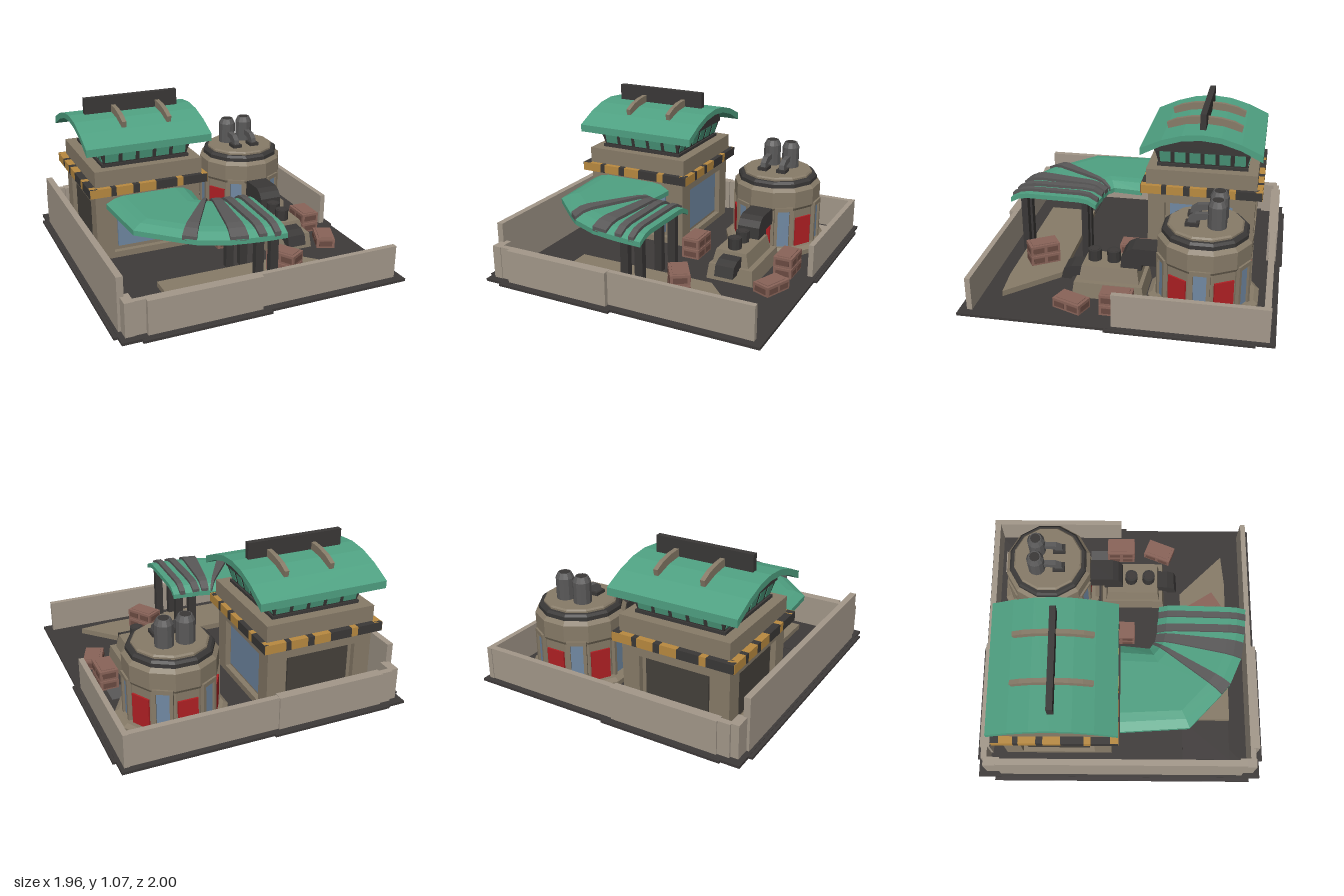
import * as THREE from 'three';

const mat = (color) => new THREE.MeshStandardMaterial({ color, flatShading: true, side: THREE.DoubleSide });
const M = {
  ground: mat(0x3e3a39), wall: mat(0xa3988a), tan: mat(0x877b68), tanDark: mat(0x6f6555), green: mat(0x4fa182),
  dark: mat(0x3a3837), grey: mat(0x5a5959), orange: mat(0xb98a40), blue: mat(0x7088a2), red: mat(0xb02024),
  crate: mat(0x8a6459), crateDark: mat(0x6b4b42), panel: mat(0x45413b),
};

export function createModel() {
  const root = new THREE.Group();
  const add = (name, geo, m, parent = root) => {
    const mesh = new THREE.Mesh(geo, M[m]);
    mesh.name = name;
    parent.add(mesh);
    return mesh;
  };
  const group = (name, x = 0, y = 0, z = 0, ry = 0, parent = root) => {
    const g = new THREE.Group();
    g.name = name;
    g.position.set(x, y, z);
    g.rotation.y = ry;
    parent.add(g);
    return g;
  };
  // box given by its limits
  const box = (name, m, x0, x1, y0, y1, z0, z1, parent = root) => {
    const b = add(name, new THREE.BoxGeometry(x1 - x0, y1 - y0, z1 - z0), m, parent);
    b.position.set((x0 + x1) / 2, (y0 + y1) / 2, (z0 + z1) / 2);
    return b;
  };
  // box whose top has another width and depth
  const taper = (name, m, x, z, y0, y1, w0, d0, w1, d1) => {
    const g = new THREE.BoxGeometry(1, 1, 1), p = g.attributes.position;
    for (let i = 0; i < p.count; i++) {
      const top = p.getY(i) > 0;
      p.setXYZ(i, x + p.getX(i) * (top ? w1 : w0), top ? y1 : y0, z + p.getZ(i) * (top ? d1 : d0));
    }
    return add(name, g, m);
  };
  // [z, y] profile pulled along x
  const extrudeX = (name, m, pts, x0, x1) => {
    const s = new THREE.Shape(pts.map(([z, y]) => new THREE.Vector2(-z, y)));
    const g = new THREE.ExtrudeGeometry(s, { depth: x1 - x0, bevelEnabled: false }).rotateY(Math.PI / 2);
    g.translate(x0, 0, 0);
    return add(name, g, m);
  };
  const cyl = (name, m, x, z, y0, y1, r0, r1, n = 12, parent = root) => {
    const c = add(name, new THREE.CylinderGeometry(r1, r0, y1 - y0, n), m, parent);
    c.position.set(x, (y0 + y1) / 2, z);
    return c;
  };

  // ground slab with stepped edges
  box('groundSlab', 'ground', -0.955, 0.955, 0.02, 0.037, -0.985, 0.975);
  box('slabFrontBackStep', 'ground', -0.835, -0.015, 0.02, 0.036, -1, 1);
  box('slabLeftStep', 'ground', -0.98, 0, 0.02, 0.035, -0.87, 0.9);
  box('slabRightStep', 'ground', 0, 0.975, 0.02, 0.035, -0.87, 0.04);
  box('drain', 'ground', -0.74, -0.72, 0, 0.03, 0.44, 0.77);
  box('floorHatch', 'ground', -0.83, -0.55, 0.03, 0.041, 0.44, 0.77);
  box('floorPatch', 'grey', 0.57, 0.78, 0.03, 0.04, -0.23, -0.07);
  box('floorPatch', 'wall', 0.6, 0.77, 0.03, 0.04, -0.88, -0.71);

  // perimeter walls, open at the front of the right side
  const H = 0.257;
  box('frontWall', 'wall', -0.87, 0.9, 0.03, H, 0.89, 0.925);
  box('backWall', 'wall', -0.87, 0.93, 0.03, H, -0.945, -0.905);
  box('rightWall', 'wall', 0.895, 0.93, 0.03, H, -0.95, 0);
  box('leftWall', 'wall', -0.937, -0.895, 0.03, 0.385, -0.83, 0.85);
  for (const s of [1, -1]) {
    const z = (a, b) => (s > 0 ? [a, b] : [-b, -a]);
    box('wallThickSection', 'wall', -0.79, -0.06, 0.03, H + 0.001, ...z(0.89, 0.955));
    box('wallCorner', 'wall', -0.92, -0.86, 0.03, H, ...z(0.82, 0.93));
  }

  // loading platform
  const plat = new THREE.Shape([[-0.55, 0.44], [0.41, 0.44], [0.715, 0.755], [0.5, 0.775], [-0.55, 0.775]]
    .map(([x, z]) => new THREE.Vector2(x, -z)));
  add('platform', new THREE.ExtrudeGeometry(plat, { depth: 0.04, bevelEnabled: false }).rotateX(-Math.PI / 2), 'tan')
    .position.y = 0.035;

  // tower: core with a framed opening on each side
  const tx = -0.4175, tz = -0.425;
  box('towerCore', 'tan', tx - 0.33, tx + 0.33, 0.03, 0.52, tz - 0.33, tz + 0.33);
  [['blue', 0], ['blue', 1], ['panel', 2], ['panel', 3]].forEach(([m, i]) => {
    const g = group('towerSide', tx, 0, tz, i * Math.PI / 2);
    const s = new THREE.Shape([[-0.367, 0.03], [0.367, 0.03], [0.367, 0.52], [-0.367, 0.52]].map((p) => new THREE.Vector2(...p)));
    s.holes.push(new THREE.Path([[-0.25, 0.08], [-0.25, 0.425], [0.25, 0.425], [0.25, 0.08]].map((p) => new THREE.Vector2(...p))));
    add('windowWall', new THREE.ExtrudeGeometry(s, { depth: 0.037, bevelEnabled: false }), 'tan', g).position.z = 0.33;
    box('windowPane', m, -0.215, 0.215, 0.11, 0.415, 0.32, 0.345, g);
    // striped hazard band
    const cuts = [-0.412, -0.27, -0.235, -0.12, -0.075, 0.04, 0.19, 0.235, 0.412];
    for (let k = 0; k < 8; k++) {
      box('bandStripe', k % 2 ? 'dark' : 'orange', cuts[k], cuts[k + 1], 0.508, 0.567, 0.36, 0.415, g);
    }
  });
  box('towerUpperBlock', 'tan', -0.785, -0.035, 0.515, 0.675, -0.8, -0.045);

  // control room with outward leaning windows
  const cx = -0.41, cz = -0.42;
  box('roomSill', 'dark', -0.715, -0.105, 0.67, 0.695, -0.73, -0.11);
  taper('controlRoom', 'dark', cx, cz, 0.69, 0.8, 0.58, 0.6, 0.64, 0.65);
  [[0.3, 0.59], [0.29, 0.61], [0.3, 0.59], [0.29, 0.61]].forEach(([d, w], i) => {
    const g = group('roomWindows', cx, 0.748, cz, i * Math.PI / 2);
    const n = i % 2 ? 6 : 5, step = w / n;
    for (let k = 0; k < n; k++) {
      const p = add('roomWindow', new THREE.BoxGeometry(step - 0.028, 0.085, 0.012), 'green', g);
      p.position.set((k - (n - 1) / 2) * step, 0, d + 0.013);
      p.rotation.x = 0.25;
    }
  });
  extrudeX('gable', 'dark', [[-0.09, 0.79], [-0.11, 0.86], [-0.26, 0.92], [-0.42, 0.935], [-0.58, 0.92], [-0.73, 0.86], [-0.75, 0.79]], -0.735, -0.085);

  // arched roof, ribs and ridge fin
  const arch = (half, rows) => [...rows.map(([u, y]) => [cz + half * u, y]), ...rows.slice(0, -1).reverse().map(([u, y]) => [cz - half * u, y])];
  const top = arch(0.408, [[1, 0.845], [0.65, 0.91], [0.32, 0.95], [0, 0.963]]);
  const under = arch(0.408, [[1, 0.795], [0.65, 0.868], [0.32, 0.91], [0, 0.923]]);
  extrudeX('archedRoof', 'green', [...top, ...under.reverse()], -0.84, 0.025);
  for (const x of [-0.535, -0.22]) {
    extrudeX('roofRib', 'tan', [...arch(0.26, [[1, 0.955], [0.75, 0.985], [0.4, 1.005], [0, 1.012]]),
      [-0.67, 0.91], [-0.42, 0.94], [-0.17, 0.91]], x - 0.015, x + 0.015);
  }
  box('roofFin', 'dark', -0.735, -0.075, 0.94, 1.07, cz - 0.02, cz + 0.02);

  // curved canopy: stations hold inner and outer edge points [x, z, x, z]
  const st = [[-0.13, 0, -0.73, 0], [-0.15, 0.2, -0.7, 0.46], [-0.12, 0.22, -0.47, 0.68], [-0.11, 0.23, -0.4, 0.74],
    [-0.1, 0.235, -0.22, 0.82], [-0.05, 0.245, -0.11, 0.84], [-0.035, 0.25, -0.045, 0.85], [0.015, 0.25, 0.005, 0.855],
    [0.07, 0.26, 0.055, 0.86], [0.11, 0.262, 0.095, 0.862], [0.155, 0.265, 0.14, 0.865]];
  const section = [[0, 0.462], [0.1, 0.497], [0.2, 0.505], [0.8, 0.505], [0.9, 0.495], [1, 0.465]];
  const canopy = (name, m, stations, up, down) => {
    const rings = stations.map(([ix, iz, ox, oz]) => {
      const row = (dy) => section.map(([t, y]) => [ix + (ox - ix) * t, y + dy, iz + (oz - iz) * t]);
      return [...row(up), ...row(down).reverse()];
    });
    const v = [], n = rings[0].length;
    const quad = (a, b, c, d) => v.push(...a, ...b, ...c, ...a, ...c, ...d);
    for (let i = 0; i + 1 < rings.length; i++) {
      for (let k = 0; k < n; k++) {
        const l = (k + 1) % n;
        quad(rings[i][k], rings[i + 1][k], rings[i + 1][l], rings[i][l]);
      }
    }
    const a = rings[0], b = rings[rings.length - 1];
    for (let k = 0; k < n / 2 - 1; k++) {
      quad(a[k], a[k + 1], a[n - 2 - k], a[n - 1 - k]);
      quad(b[k], b[n - 1 - k], b[n - 2 - k], b[k + 1]);
    }
    const g = new THREE.BufferGeometry();
    g.setAttribute('position', new THREE.Float32BufferAttribute(v, 3));
    g.computeVertexNormals();
    add(name, g, m);
  };
  canopy('canopy', 'green', st, 0, -0.033);
  for (const i of [2, 4, 6, 8]) canopy('canopyStrip', 'grey', st.slice(i, i + 2), 0.02, -0.01);
  for (const x of [-0.012, 0.088]) for (const z of [0.352, 0.778]) {
    box('canopyPost', 'dark', x - 0.027, x + 0.027, 0.03, 0.478, z - 0.022, z + 0.022);
  }

  // round building, twelve sided
  const rx = 0.475, rz = -0.512;
  const round = group('roundBuilding', rx, 0, rz);
  const lathe = (name, m, pts) => {
    const g = new THREE.LatheGeometry(pts.map(([r, y]) => new THREE.Vector2(r, y)), 12).toNonIndexed();
    add(name, g, m, round).rotation.y = Math.PI / 12;
  };
  lathe('roundBody', 'tan', [[0.36, 0.03], [0.36, 0.07], [0.33, 0.09], [0.29, 0.09], [0.29, 0.35], [0.302, 0.37], [0.302, 0.485], [0.275, 0.51], [0, 0.51]]);
  lathe('roofRing', 'dark', [[0.25, 0.505], [0.276, 0.505], [0.276, 0.535], [0.262, 0.55], [0.23, 0.55]]);
  lathe('roofCap', 'tan', [[0.242, 0.54], [0.242, 0.562], [0.232, 0.572], [0, 0.572]]);
  for (let i = 0; i < 12; i++) {
    const g = group('bay', 0, 0, 0, i * Math.PI / 6, round);
    if (i % 2) {
      for (const s of [-1, 1]) box('doorJamb', 'tan', s * 0.052 - 0.011, s * 0.052 + 0.011, 0.08, 0.35, 0.25, 0.305, g);
      box('doorLintel', 'tan', -0.063, 0.063, 0.35, 0.378, 0.25, 0.305, g);
      box('doorGlass', 'blue', -0.045, 0.045, 0.08, 0.352, 0.25, 0.29, g);
    } else {
      box('redPanel', 'red', -0.065, 0.065, 0.09, 0.295, 0.25, 0.292, g);
    }
  }
  // twin tanks with elbow pipes
  for (const x of [0.403, 0.54]) {
    cyl('tank', 'grey', x, -0.585, 0.56, 0.715, 0.06, 0.06);
    cyl('tankCap', 'grey', x, -0.585, 0.715, 0.75, 0.06, 0.043);
    cyl('tankVent', 'dark', x, -0.585, 0.75, 0.752, 0.035, 0.035);
    extrudeX('tankPipe', 'grey', [[-0.54, 0.66], [-0.45, 0.655], [-0.41, 0.625], [-0.4, 0.57], [-0.45, 0.57], [-0.46, 0.61], [-0.54, 0.625]], x - 0.018, x + 0.018);
    box('pipeFoot', 'dark', x - 0.033, x + 0.033, 0.565, 0.595, -0.475, -0.39);
  }

  // generator with ducts and chimneys
  taper('generatorBase', 'tan', 0.477, 0.085, 0.03, 0.14, 0.325, 0.47, 0.3, 0.44);
  taper('generatorTop', 'tan', 0.465, 0.085, 0.14, 0.232, 0.25, 0.39, 0.21, 0.36);
  for (const z of [0.075, 0.2]) {
    cyl('chimney', 'dark', 0.462, z, 0.22, 0.305, 0.045, 0.045);
    cyl('chimneyMouth', 'ground', 0.462, z, 0.305, 0.307, 0.03, 0.03);
  }
  extrudeX('rearDuct', 'dark', [[0.015, 0.22], [0.01, 0.31], [-0.02, 0.35], [-0.06, 0.372], [-0.24, 0.372], [-0.24, 0.26], [-0.12, 0.26], [-0.12, 0.22]], 0.4, 0.552);
  extrudeX('frontDuct', 'dark', [[0.25, 0.21], [0.34, 0.205], [0.39, 0.18], [0.41, 0.11], [0.345, 0.11], [0.33, 0.13], [0.25, 0.13]], 0.412, 0.54);

  // crates, one or two high
  for (const [x, z, y, ry, n] of [[0.088, 0, 0.035, 0, 2], [0.755, 0, 0.035, 0, 2], [0.755, 0.29, 0.035, -0.38, 1], [0.265, 0.61, 0.072, 0.56, 2]]) {
    const stack = group('crateStack', x, y, z, ry);
    for (let k = 0; k < n; k++) {
      const b = k * 0.073;
      box('crate', 'crate', -0.0625, 0.0625, b, b + 0.068, -0.1, 0.1, stack);
      box('crateLid', 'crate', -0.045, 0.045, b + 0.06, b + 0.073, -0.082, 0.082, stack);
      for (const s of [-1, 1]) {
        box('crateSidePanel', 'crateDark', -0.066, 0.066, b + 0.016, b + 0.052, s * 0.048 - 0.037, s * 0.048 + 0.037, stack);
      }
      box('crateEndPanel', 'crateDark', -0.045, 0.045, b + 0.016, b + 0.052, -0.103, 0.103, stack);
    }
  }
  return root;
}
